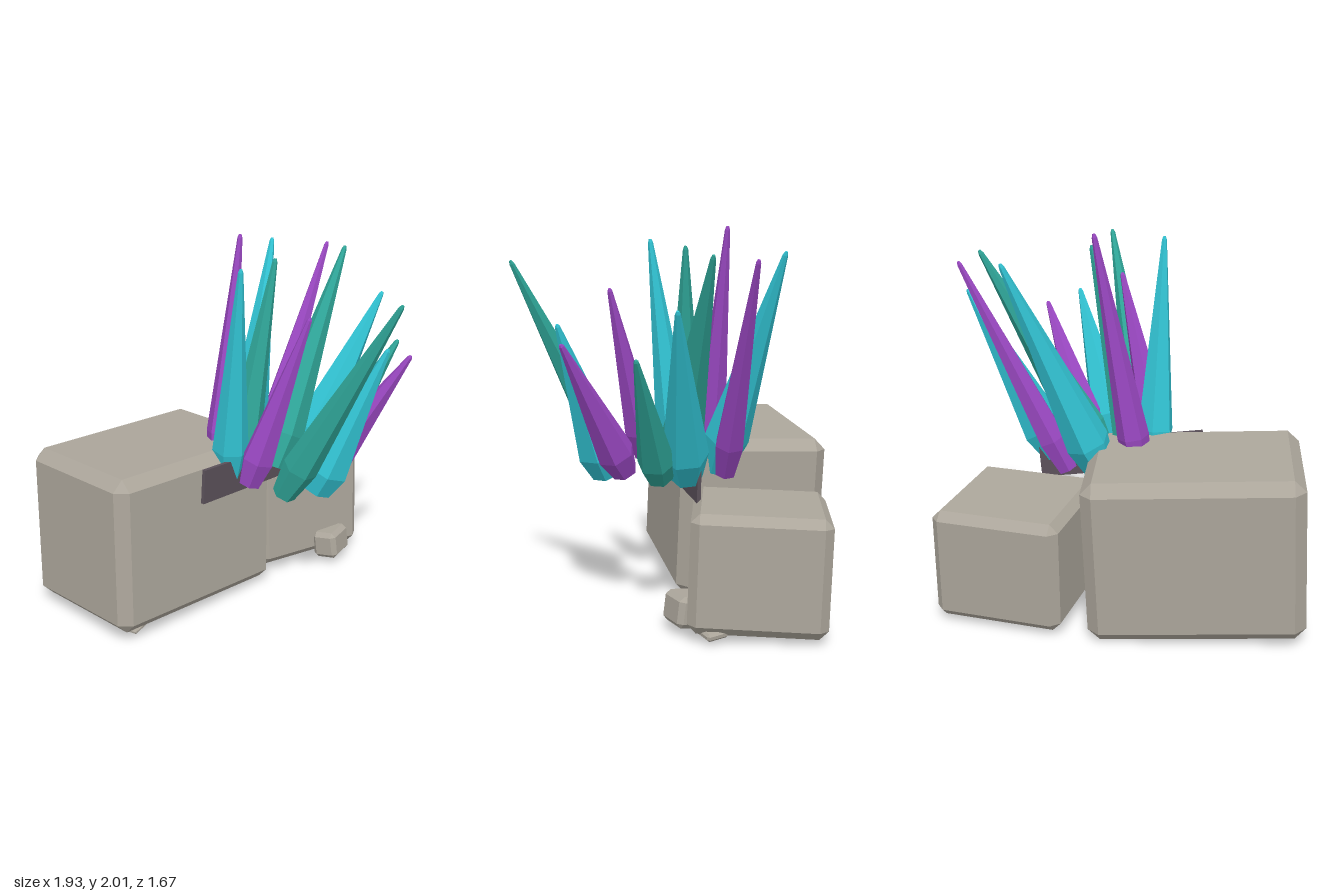
import * as THREE from 'three';
import { ConvexGeometry } from 'three/addons/geometries/ConvexGeometry.js';

const material = (color) => new THREE.MeshStandardMaterial({ color, flatShading: true });
const rad = THREE.MathUtils.degToRad;

// Box with bevelled edges and small triangular corners
function bevelledBox(w, h, d, c) {
  const points = [];
  for (const x of [-1, 1]) for (const y of [-1, 1]) for (const z of [-1, 1]) {
    const [a, b, e] = [w / 2, h / 2, d / 2];
    points.push(
      new THREE.Vector3(x * a, y * (b - c), z * (e - c)),
      new THREE.Vector3(x * (a - c), y * b, z * (e - c)),
      new THREE.Vector3(x * (a - c), y * (b - c), z * e));
  }
  return new ConvexGeometry(points);
}

// Six-sided spike from base to tip: narrow foot, widest low down, fine point
function crystalGeometry(radius, length) {
  const profile = [
    [0, 0], [radius * 0.68, 0], [radius, length * 0.15],
    [0.014, length * 0.985], [0.007, length], [0, length],
  ].map(([r, y]) => new THREE.Vector2(r, y));
  return new THREE.LatheGeometry(profile, 6);
}

export function createModel() {
  const model = new THREE.Group();
  const stone = material(0xaca69b);
  const slate = material(0x5b515a);
  const cyan = material(0x32c4d4);
  const teal = material(0x2fa598);
  const purple = material(0x9a48c2);

  function addBlock(name, size, bevel, position, degrees, mat = stone) {
    const mesh = new THREE.Mesh(bevelledBox(...size, bevel), mat);
    mesh.name = name;
    mesh.position.set(...position);
    mesh.rotation.set(...degrees.map(rad));
    model.add(mesh);
  }

  // Two leaning boulders
  addBlock('largeRock', [1.11, 0.87, 0.79, ], 0.06, [-0.365, 0.46, -0.375], [-2, 6, -2]);
  addBlock('smallRock', [0.69, 0.6, 0.69], 0.045, [0.585, 0.33, -0.405], [-2, -7.5, 0]);

  // Loose pebbles around the foot
  addBlock('frontPebble', [0.2, 0.16, 0.15], 0.025, [0.66, 0.11, -0.02], [-8, 22, 3]);
  addBlock('flatPebble', [0.13, 0.04, 0.12], 0.012, [0.83, 0.045, -0.14], [5, 25, -8]);
  addBlock('leftPebble', [0.12, 0.03, 0.1], 0.01, [-0.75, 0.045, -0.03], [0, 20, 6]);

  // Thin slate strip behind the crystals
  const strip = new THREE.Mesh(new THREE.BoxGeometry(0.9, 0.19, 0.02), slate);
  strip.name = 'slateStrip';
  strip.position.set(0.09, 0.745, -0.02);
  strip.rotation.set(0, rad(11), rad(-4.5));
  model.add(strip);

  // Crystals: material, radius, base, tip
  const crystals = [
    [cyan, 0.1, [-0.09, 0.72, -0.05], [-0.12, 1.93, 0.1]],
    [purple, 0.085, [-0.04, 0.73, -0.21], [0.18, 2.0, -0.285]],
    [purple, 0.09, [-0.09, 0.75, 0.13], [0.15, 1.68, 0.33]],
    [teal, 0.1, [0.0, 0.72, -0.08], [0.24, 1.9, -0.06]],
    [teal, 0.095, [0.01, 0.72, 0.3], [0.3, 1.83, 0.83]],
    [cyan, 0.12, [0.2, 0.71, 0.35], [0.45, 1.52, 0.6]],
    [cyan, 0.12, [0.16, 0.72, -0.24], [0.6, 1.88, -0.52]],
    [teal, 0.115, [0.2, 0.72, -0.02], [0.82, 1.87, -0.14]],
    [purple, 0.08, [0.34, 0.73, -0.26], [0.87, 1.85, -0.345]],
    [cyan, 0.12, [0.44, 0.73, -0.05], [0.95, 1.62, 0.04]],
    [teal, 0.1, [0.48, 0.74, 0.09], [0.9, 1.39, 0.23]],
    [purple, 0.1, [0.32, 0.74, 0.26], [0.64, 1.44, 0.58]],
  ];
  const cluster = new THREE.Group();
  cluster.name = 'crystalCluster';
  const up = new THREE.Vector3(0, 1, 0);
  crystals.forEach(([mat, radius, base, tip], i) => {
    const foot = new THREE.Vector3(...base);
    const axis = new THREE.Vector3(...tip).sub(foot);
    const mesh = new THREE.Mesh(crystalGeometry(radius, axis.length()), mat);
    mesh.name = `crystal${i + 1}`;
    mesh.position.copy(foot);
    mesh.quaternion.setFromUnitVectors(up, axis.normalize());
    mesh.rotateY(i * 0.7);
    cluster.add(mesh);
  });
  model.add(cluster);

  return model;
}
